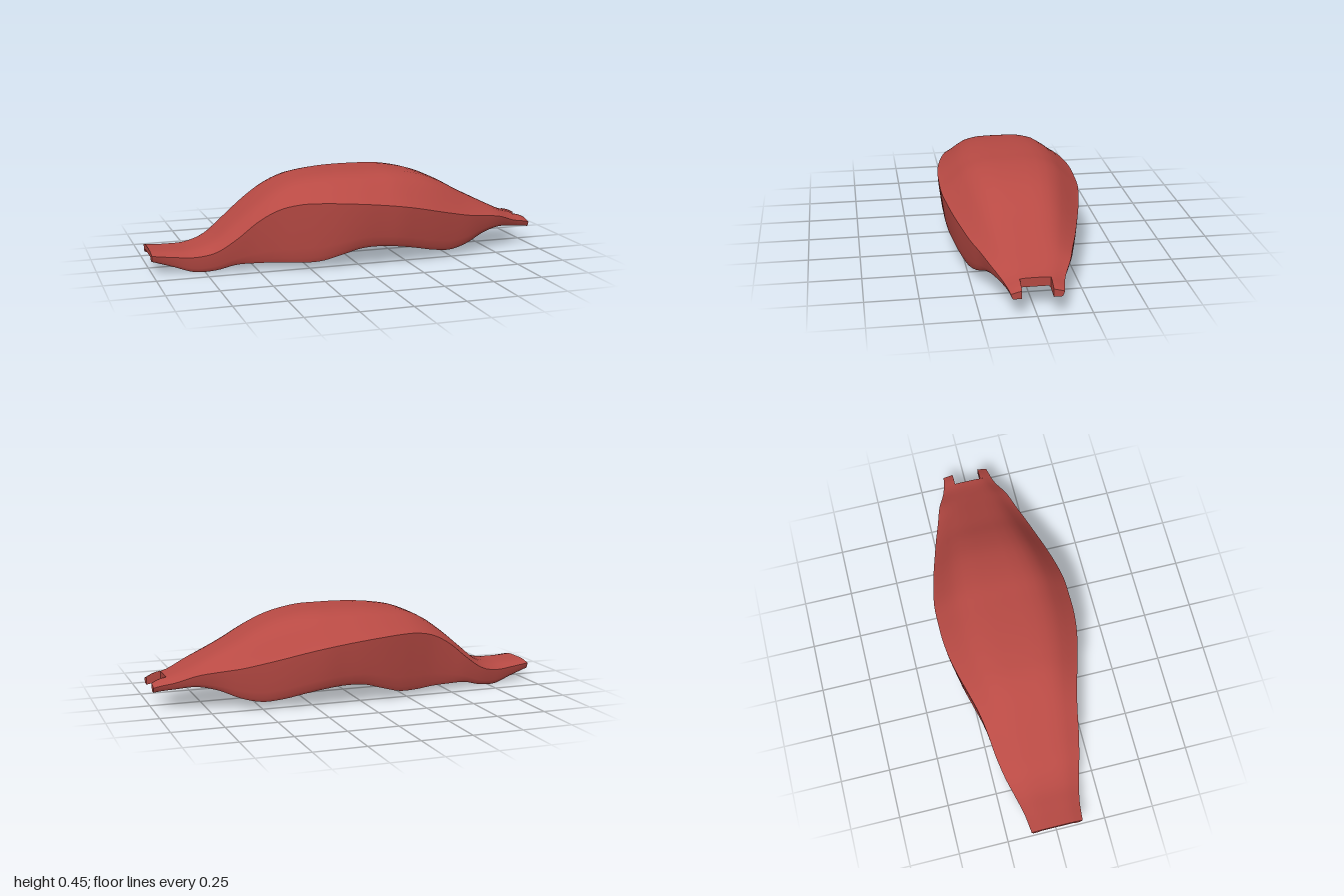
import * as THREE from 'three';

// Stations along the body: x, top height, crease height, bottom height, half width
const STATIONS = [
  [-1, .108, .095, .065, .13], [-.9, .104, .085, .035, .142], [-.8, .106, .082, .006, .166],
  [-.7, .14, .105, .012, .193], [-.6, .22, .17, .037, .215], [-.5, .302, .25, .04, .23],
  [-.4, .372, .305, .04, .25], [-.3, .418, .33, .036, .278], [-.2, .438, .335, .042, .306],
  [-.1, .448, .332, .07, .328], [0, .452, .325, .098, .34], [.1, .452, .314, .102, .342],
  [.2, .45, .3, .092, .34], [.3, .436, .28, .073, .324], [.4, .41, .256, .051, .302],
  [.5, .367, .232, .04, .275], [.6, .312, .21, .06, .247], [.7, .262, .195, .1, .215],
  [.8, .213, .178, .12, .185], [.9, .168, .142, .108, .142], [.97, .15, .128, .1, .125],
  [1, .135, .12, .095, .12],
];
const NOTCH_X = .93, NOTCH_Z = .07;

const curve = new THREE.CubicInterpolant(
  STATIONS.map((s) => s[0]), STATIONS.flatMap((s) => s.slice(1)), 4);

// Smoothed dimensions at one station, with the channel fading at both ends
function dims(x) {
  const [top, crease, bottom, w] = Array.from(curve.evaluate(x));
  const rear = THREE.MathUtils.smoothstep(x, -1.05, -.7);
  const front = 1 - THREE.MathUtils.smoothstep(x, .55, NOTCH_X);
  const depth = .012 + .053 * rear * front;
  const half = NOTCH_Z + (.02 + .03 * rear) * front;
  return { top, crease, bottom, w, half, ceiling: bottom + depth };
}

const mirror = (pts) => pts.map(([z, y]) => [-z, y]).reverse();

// Profile pieces of the +z half as [z, y], running clockwise from the ridge
const ROOF = [[0, 1], [.2, .995], [.37, .97], [.5, .89], [.62, .78], [.73, .57], [.83, .35], [.94, .11], [1, 0]];
const WALL = [[1, 0], [.99, .2], [.97, .45], [.945, .75], [.92, .92], [.89, 1]];
const roof = (d, inner = 0) =>
  ROOF.map(([f, h]) => [Math.max(inner, f * d.w), d.crease + h * (d.top - d.crease)]);
const side = (d) => WALL.map(([f, t]) => [f * d.w, d.crease + t * (d.bottom - d.crease)]);
const rim = (d, inner = d.half) => [[.89 * d.w, d.bottom], [inner, d.bottom]];
const channelWall = (d) => [[d.half, d.bottom], [d.half - .008, d.ceiling]];
const ceiling = (d) => [[d.half - .008, d.ceiling], [-d.half + .008, d.ceiling]];
const fullRoof = (d) => [...mirror(roof(d)), ...roof(d).slice(1)];
const prongWall = (d) => [[NOTCH_Z, d.bottom], [NOTCH_Z, d.top]];

// Skin a profile piece along x
function loft(x0, x1, steps, profile) {
  const pos = [], index = [];
  let n = 0;
  for (let i = 0; i <= steps; i++) {
    const x = x0 + (x1 - x0) * i / steps;
    const pts = profile(dims(x));
    n = pts.length;
    for (const [z, y] of pts) pos.push(x, y, z);
  }
  for (let i = 0; i < steps; i++) {
    for (let j = 0; j < n - 1; j++) {
      const a = i * n + j, b = a + n;
      index.push(a, a + 1, b, a + 1, b + 1, b);
    }
  }
  const g = new THREE.BufferGeometry();
  g.setAttribute('position', new THREE.Float32BufferAttribute(pos, 3));
  g.setIndex(index);
  g.computeVertexNormals();
  return g;
}

// Flat end face; dir is +1 or -1 along x
function cap(x, dir, outline) {
  const shape = new THREE.Shape(outline.map(([z, y]) => new THREE.Vector2(-dir * z, y)));
  return new THREE.ShapeGeometry(shape).rotateY(dir * Math.PI / 2).translate(x, 0, 0);
}

export function createModel() {
  const red = new THREE.MeshStandardMaterial({ color: 0xb84a44, side: THREE.DoubleSide });
  red.name = 'red';
  const model = new THREE.Group();
  model.name = 'shell';
  const add = (name, geometry) => {
    const mesh = new THREE.Mesh(geometry, red);
    mesh.name = name;
    model.add(mesh);
  };
  const bothSides = (name, x0, x1, steps, profile) => {
    add(name + 'Left', loft(x0, x1, steps, profile));
    add(name + 'Right', loft(x0, x1, steps, (d) => mirror(profile(d))));
  };

  // Main body: domed roof, flanks, flat rims and the channel underneath
  add('roof', loft(-1, NOTCH_X, 90, fullRoof));
  add('channelCeiling', loft(-1, NOTCH_X, 90, ceiling));
  bothSides('flank', -1, NOTCH_X, 90, side);
  bothSides('rim', -1, NOTCH_X, 90, (d) => rim(d));
  bothSides('channelWall', -1, NOTCH_X, 90, channelWall);

  // End faces of the body
  for (const [x, dir, name] of [[-1, -1, 'tailFace'], [NOTCH_X, 1, 'notchFace']]) {
    const d = dims(x);
    const lower = [...side(d).slice(1), rim(d)[1], channelWall(d)[1]];
    add(name, cap(x, dir, [...fullRoof(d), ...lower, ...mirror(lower)]));
  }

  // Two prongs beside the notch
  bothSides('prongTop', NOTCH_X, 1, 8, (d) => roof(d, NOTCH_Z));
  bothSides('prongFlank', NOTCH_X, 1, 8, side);
  bothSides('prongBottom', NOTCH_X, 1, 8, (d) => rim(d, NOTCH_Z));
  bothSides('prongInside', NOTCH_X, 1, 8, prongWall);
  const d = dims(1);
  const tip = [...roof(d, NOTCH_Z).filter(([z]) => z > NOTCH_Z), ...side(d).slice(1),
    [NOTCH_Z, d.bottom], [NOTCH_Z, d.top]];
  add('prongTipLeft', cap(1, 1, tip));
  add('prongTipRight', cap(1, 1, mirror(tip)));
  return model;
}
